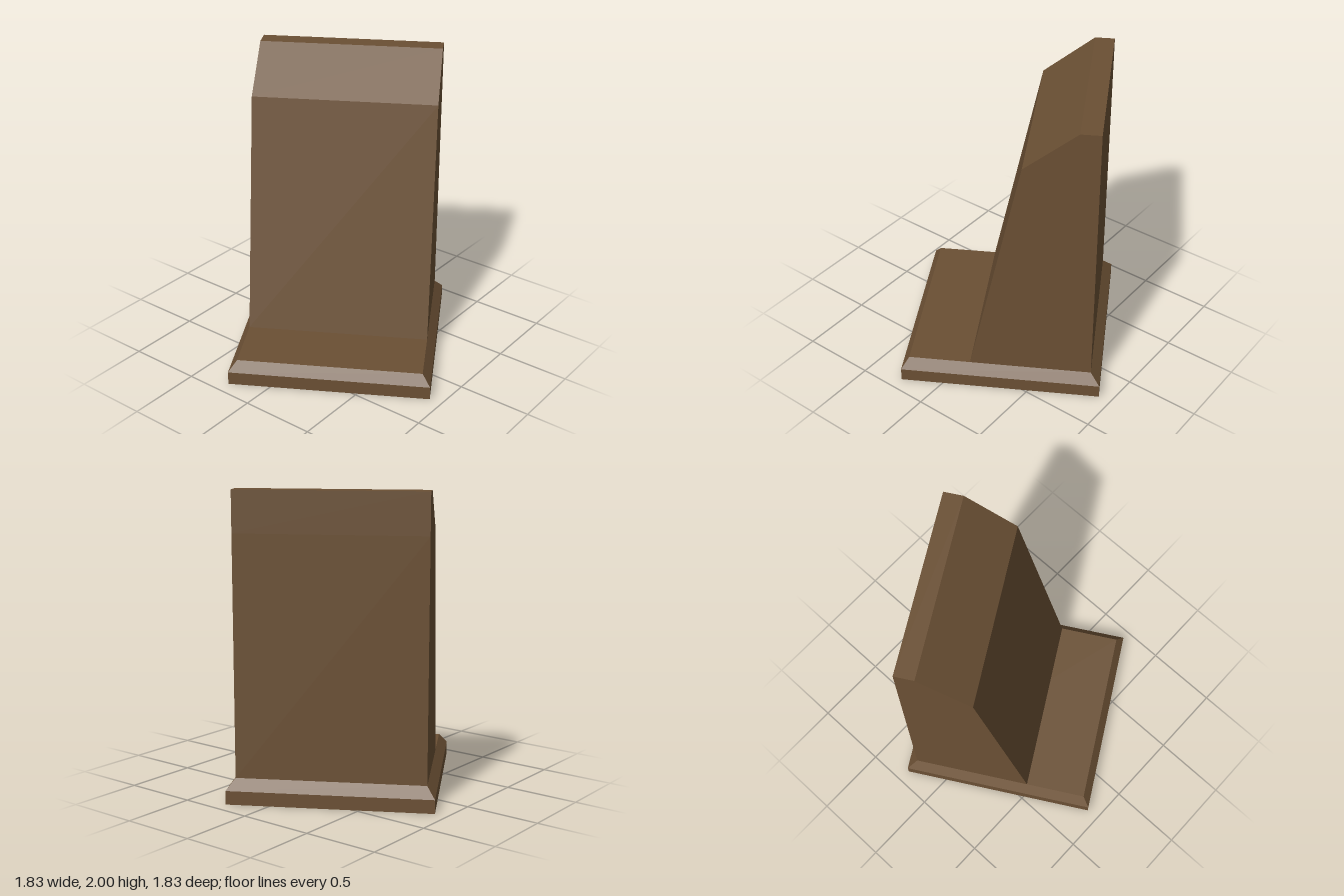
import * as THREE from 'three';

// Flat-shaded block through stacked rectangles [y, xMin, xMax, zHalf], closed at both ends
function stackedBlock(rings, material, name) {
  const pos = [];
  const loops = rings.map(([y, a, b, h]) => [[a, y, h], [b, y, h], [b, y, -h], [a, y, -h]]);
  const quad = (a, b, c, d) => pos.push(...a, ...b, ...c, ...a, ...c, ...d);
  for (let i = 0; i < loops.length - 1; i++) {
    const lo = loops[i], hi = loops[i + 1];
    for (let k = 0; k < 4; k++) {
      const n = (k + 1) % 4;
      quad(lo[k], lo[n], hi[n], hi[k]);
    }
  }
  const bottom = loops[0], top = loops[loops.length - 1];
  quad(bottom[3], bottom[2], bottom[1], bottom[0]);
  quad(top[0], top[1], top[2], top[3]);
  const geometry = new THREE.BufferGeometry();
  geometry.setAttribute('position', new THREE.Float32BufferAttribute(pos, 3));
  geometry.computeVertexNormals();
  const mesh = new THREE.Mesh(geometry, material);
  mesh.name = name;
  return mesh;
}

export function createModel() {
  const group = new THREE.Group();
  group.name = 'barrierWall';
  const brown = new THREE.MeshStandardMaterial({ color: 0x6b5034, flatShading: true });
  brown.name = 'brown';

  // Square foot with a bevelled upper edge
  group.add(stackedBlock([
    [0, -0.668, 0.668, 0.668],
    [0.09, -0.668, 0.668, 0.668],
    [0.16, -0.619, 0.605, 0.614],
  ], brown, 'basePlinth'));

  // Upright slab: vertical back, leaning face, chamfered top
  group.add(stackedBlock([
    [0.16, -0.205, 0.605, 0.614],
    [1.73, 0.136, 0.605, 0.614],
    [2, 0.475, 0.605, 0.614],
  ], brown, 'slopedWall'));

  // The whole piece stands turned on its spot
  group.rotation.y = Math.PI / 6;
  const root = new THREE.Group();
  root.add(group);
  return root;
}
